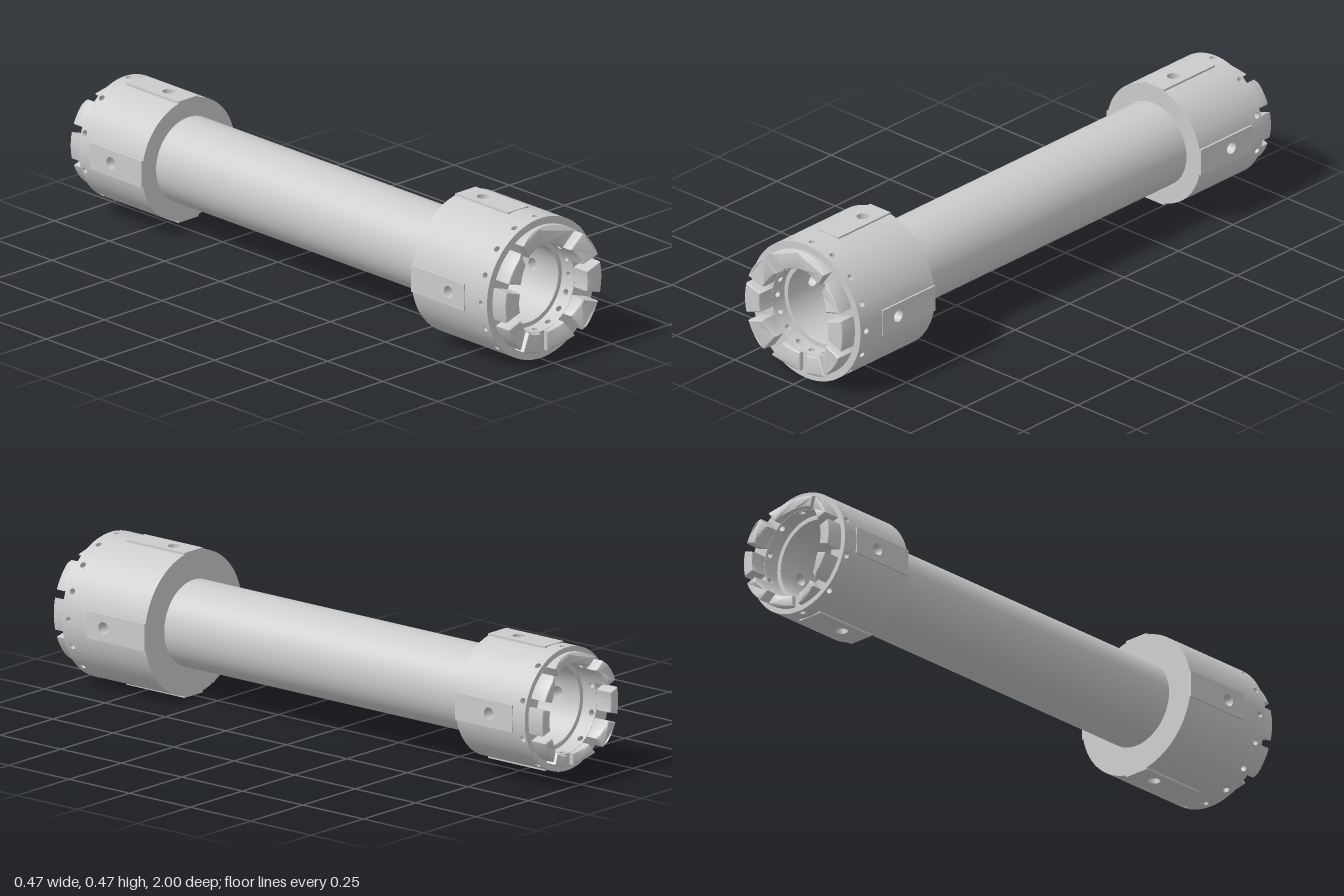
import * as THREE from 'three';
import { mergeGeometries, toCreasedNormals } from 'three/addons/utils/BufferGeometryUtils.js';
import { ParametricGeometry } from 'three/addons/geometries/ParametricGeometry.js';

const AXIS_Y = 0.235;    // height of the tube axis
const BORE = 0.13;       // inner radius of the tube
const TUBE = 0.14;       // outer radius of the tube
const SOCKET = 0.145;    // wider mouth of each collar
const SOCKET_Z = 0.885;  // where the mouth steps down to the bore
const rad = THREE.MathUtils.degToRad;
const mix = THREE.MathUtils.lerp;

const material = new THREE.MeshStandardMaterial({ color: 0xcccccc, side: THREE.DoubleSide });

function add(group, name, geometry) {
  const mesh = new THREE.Mesh(geometry, material);
  mesh.name = name;
  group.add(mesh);
  return mesh;
}

// Surface given in cylinder coordinates: fn(u, v) returns [angle, radius, z]
function surface(fn, nu, nv) {
  return new ParametricGeometry((u, v, p) => {
    const [a, r, z] = fn(u, v);
    p.set(r * Math.cos(a), r * Math.sin(a), z);
  }, nu, nv);
}

const sector = (r, a0, a1, z0, z1) =>
  surface((u, v) => [mix(a0, a1, u), r, mix(z0, z1, v)], Math.max(2, Math.ceil((a1 - a0) * 16)), 1);

const annulus = (r0, r1, z) =>
  surface((u, v) => [u * Math.PI * 2, mix(r0, r1, v), z], 96, 1);

// Curved patch with a round hole in its middle
function holePatch(r, a, z, hole, halfAngle, halfZ) {
  return surface((u, v) => {
    const c = Math.cos(u * Math.PI * 2), s = Math.sin(u * Math.PI * 2);
    const m = Math.max(Math.abs(c), Math.abs(s));
    return [
      a + mix(Math.asin(hole * c / r), halfAngle * c / m, v),
      r,
      z + mix(hole * s, halfZ * s / m, v),
    ];
  }, 24, 2);
}

// Cylindrical wall pierced by rows of holes; rows are sorted by z
function piercedWall(r, z0, z1, rows) {
  const parts = [];
  let z = z0;
  for (const row of rows) {
    const halfZ = row.hole * 1.25, halfAngle = Math.asin(row.hole * 1.25 / r);
    const step = Math.PI * 2 / row.count;
    if (row.z - halfZ - z > 1e-4) parts.push(sector(r, 0, Math.PI * 2, z, row.z - halfZ));
    for (let i = 0; i < row.count; i++) {
      const a = row.start + i * step;
      parts.push(holePatch(r, a, row.z, row.hole, halfAngle, halfZ));
      parts.push(sector(r, a + halfAngle, a + step - halfAngle, row.z - halfZ, row.z + halfZ));
    }
    z = row.z + halfZ;
  }
  parts.push(sector(r, 0, Math.PI * 2, z, z1));
  return mergeGeometries(parts);
}

// Side walls of the holes, running from radius r0 to r1
function holeLiners(r0, r1, rows) {
  const parts = [];
  for (const row of rows) {
    for (let i = 0; i < row.count; i++) {
      const a = row.start + i * Math.PI * 2 / row.count;
      parts.push(surface((u, v) => {
        const t = u * Math.PI * 2, r = mix(r0, r1, v);
        return [a + Math.asin(row.hole * Math.cos(t) / r), r, row.z + row.hole * Math.sin(t)];
      }, 24, 1));
    }
  }
  return mergeGeometries(parts);
}

// Bevelled tooth between two slots, its end hollowed by a saddle curve
function toothGeometry(o, a0, a1) {
  const slot = 0.013, n = Math.round((a1 - a0) * 20), points = [];
  const arc = (r, from, to) => {
    for (let i = 0; i <= n; i++) {
      const a = mix(from, to, i / n);
      points.push(new THREE.Vector2(r * Math.cos(a), r * Math.sin(a)));
    }
  };
  const inset = (r) => Math.asin(slot / r);
  arc(o.toothOuter, a0 + inset(o.toothOuter), a1 - inset(o.toothOuter));
  arc(0.146, a1 - inset(0.146), a0 + inset(0.146));
  const bevel = 0.005;
  const geometry = new THREE.ExtrudeGeometry(new THREE.Shape(points), {
    depth: 0.06, bevelThickness: bevel, bevelSize: bevel, bevelOffset: -bevel, bevelSegments: 3,
  });
  geometry.translate(0, 0, 1 - 0.06 - bevel);
  const p = geometry.attributes.position;
  for (let i = 0; i < p.count; i++) {
    if (p.getZ(i) < 0.96) continue;
    const k = Math.min(1, Math.abs(p.getX(i)) / o.saddleHalf);
    p.setZ(i, p.getZ(i) - o.saddleDepth * (1 - k * k));
  }
  return toCreasedNormals(geometry, 0.5);
}

// Flat pad around a large hole, lying along the collar
function padGeometry(o, holeZ) {
  const w = 0.044;
  const shape = new THREE.Shape([
    new THREE.Vector2(-w, -o.padEnd), new THREE.Vector2(w, -o.padEnd),
    new THREE.Vector2(w, -o.start), new THREE.Vector2(-w, -o.start),
  ]);
  shape.holes.push(new THREE.Path().absarc(0, -holeZ, 0.02, 0, Math.PI * 2, true));
  const geometry = new THREE.ExtrudeGeometry(shape, { depth: 0.01, bevelEnabled: false, curveSegments: 24 });
  geometry.rotateX(-Math.PI / 2);
  geometry.translate(0, o.radius + 0.002 - 0.01, 0);
  return toCreasedNormals(geometry, 0.5);
}

// Collar with holes, pads and teeth, built facing +z
function collar(name, o) {
  const group = new THREE.Group();
  group.name = name;
  const large = [
    { z: o.topHoleZ, hole: 0.02, count: 2, start: Math.PI / 2 },
    { z: o.sideHoleZ, hole: 0.02, count: 2, start: 0 },
  ];
  const small = [{ z: o.smallHoleZ, hole: 0.01, count: o.smallHoles, start: Math.PI / 2 }];

  add(group, 'collarWall', piercedWall(o.radius, o.start, o.end, [...large, ...small]));
  add(group, 'bore', piercedWall(BORE, 0, SOCKET_Z, large));
  add(group, 'socketWall', piercedWall(SOCKET, SOCKET_Z, o.end, small));
  add(group, 'collarShoulder', annulus(TUBE, o.radius, o.start));
  add(group, 'collarFace', annulus(SOCKET, o.radius, o.end));
  add(group, 'socketStep', annulus(BORE, SOCKET, SOCKET_Z));
  add(group, 'boltHoles', holeLiners(BORE, o.radius, large));
  add(group, 'pinHoles', holeLiners(SOCKET, o.radius, small));

  for (let k = 0; k < 4; k++) {
    add(group, 'pad', padGeometry(o, k % 2 ? o.sideHoleZ : o.topHoleZ)).rotation.z = k * Math.PI / 2;
  }

  // Ten evenly spaced slots, with the top one left out to make a wide tooth
  for (let k = 0; k < 10; k++) {
    if (k === 5) continue;
    const a = -90 + 36 * k;
    add(group, k === 4 ? 'wideTooth' : 'tooth', toothGeometry(o, rad(a), rad(a + (k === 4 ? 72 : 36))));
  }
  return group;
}

export function createModel() {
  const model = new THREE.Group();
  model.name = 'collaredTube';
  const body = new THREE.Group();
  body.name = 'body';
  body.position.y = AXIS_Y;
  model.add(body);

  add(body, 'tube', sector(TUBE, 0, Math.PI * 2, -0.655, 0.6));

  body.add(collar('frontCollar', {
    radius: 0.233, start: 0.6, end: 0.942, padEnd: 0.84,
    topHoleZ: 0.68, sideHoleZ: 0.77, smallHoleZ: 0.915, smallHoles: 16,
    toothOuter: 0.209, saddleHalf: 0.145, saddleDepth: 0.043,
  }));

  const back = collar('backCollar', {
    radius: 0.2, start: 0.655, end: 0.942, padEnd: 0.89,
    topHoleZ: 0.745, sideHoleZ: 0.795, smallHoleZ: 0.925, smallHoles: 10,
    toothOuter: 0.183, saddleHalf: 0.13, saddleDepth: 0.043,
  });
  back.rotation.y = Math.PI;
  body.add(back);

  return model;
}
